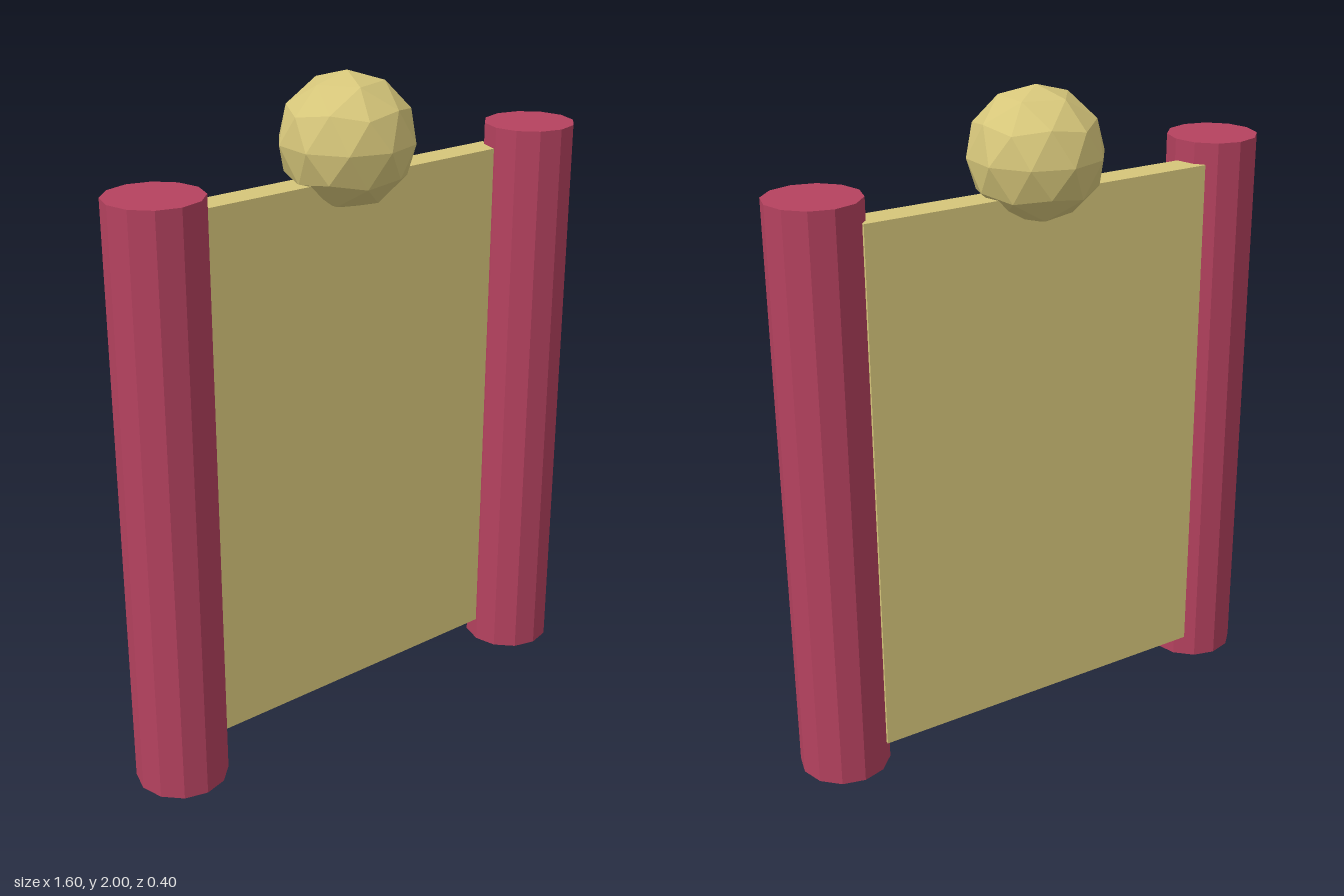
import * as THREE from 'three';

export function createModel() {
  const model = new THREE.Group();
  const cream = new THREE.MeshStandardMaterial({ color: 0xd6c67a, flatShading: true });
  const crimson = new THREE.MeshStandardMaterial({ color: 0xb5425f, flatShading: true });

  const add = (name, geometry, material, x, y, z) => {
    const mesh = new THREE.Mesh(geometry, material);
    mesh.name = name;
    mesh.position.set(x, y, z);
    model.add(mesh);
    return mesh;
  };

  // Flat panel, its ends sunk into the posts
  add('panel', new THREE.BoxGeometry(1.13, 1.635, 0.09), cream, 0, 0.8875, -0.005);

  // Twelve-sided posts, set slightly forward of the panel
  const post = new THREE.CylinderGeometry(0.137, 0.137, 1.77, 12);
  add('leftPost', post, crimson, 0.663, 0.885, 0.0475);
  add('rightPost', post, crimson, -0.663, 0.885, 0.0475);

  // Faceted ball on the top edge, turned so one corner points straight up
  const ball = new THREE.IcosahedronGeometry(0.2, 1);
  ball.rotateZ(Math.atan(2 / (1 + Math.sqrt(5))));
  ball.scale(1, 0.975, 0.995);
  add('topBall', ball, cream, 0, 1.805, 0);

  return model;
}
